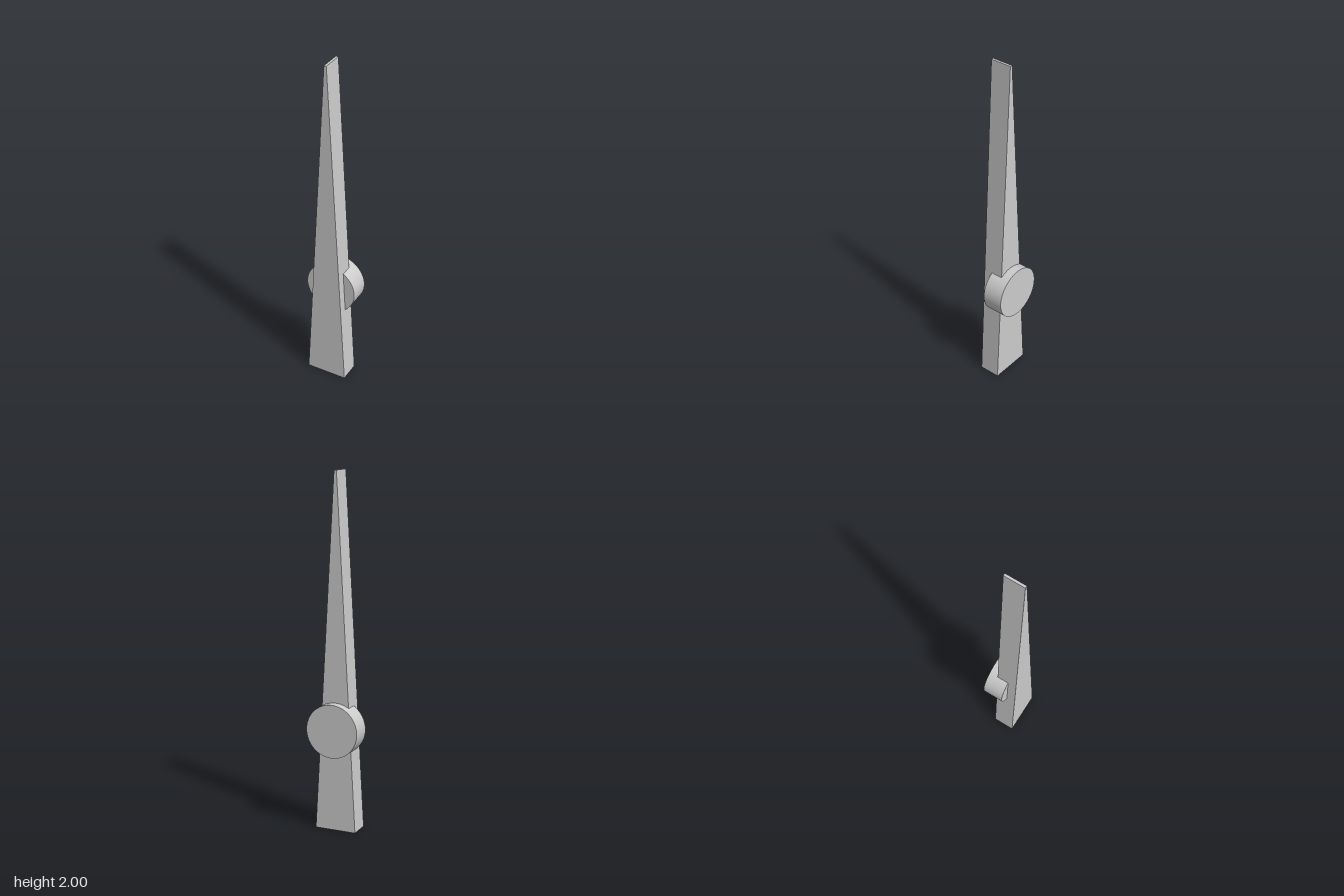
import * as THREE from 'three';

export function createModel() {
  const group = new THREE.Group();
  const material = new THREE.MeshStandardMaterial({ color: 0xcccccc });

  // Tapered hand: a trapezoid outline given an even thickness
  const outline = new THREE.Shape([
    new THREE.Vector2(-0.12, 0),
    new THREE.Vector2(0.12, 0),
    new THREE.Vector2(0.007, 2),
    new THREE.Vector2(-0.007, 2),
  ]);
  const handGeometry = new THREE.ExtrudeGeometry(outline, { depth: 0.122, bevelEnabled: false });
  handGeometry.translate(0, 0, -0.036);
  const hand = new THREE.Mesh(handGeometry, material);
  hand.name = 'taperedHand';
  group.add(hand);

  // Round pivot hub, set into the back of the hand
  const hubGeometry = new THREE.CylinderGeometry(0.151, 0.151, 0.121, 64);
  hubGeometry.rotateX(Math.PI / 2);
  const hub = new THREE.Mesh(hubGeometry, material);
  hub.name = 'pivotHub';
  hub.position.set(0, 0.585, -0.027);
  group.add(hub);

  return group;
}
